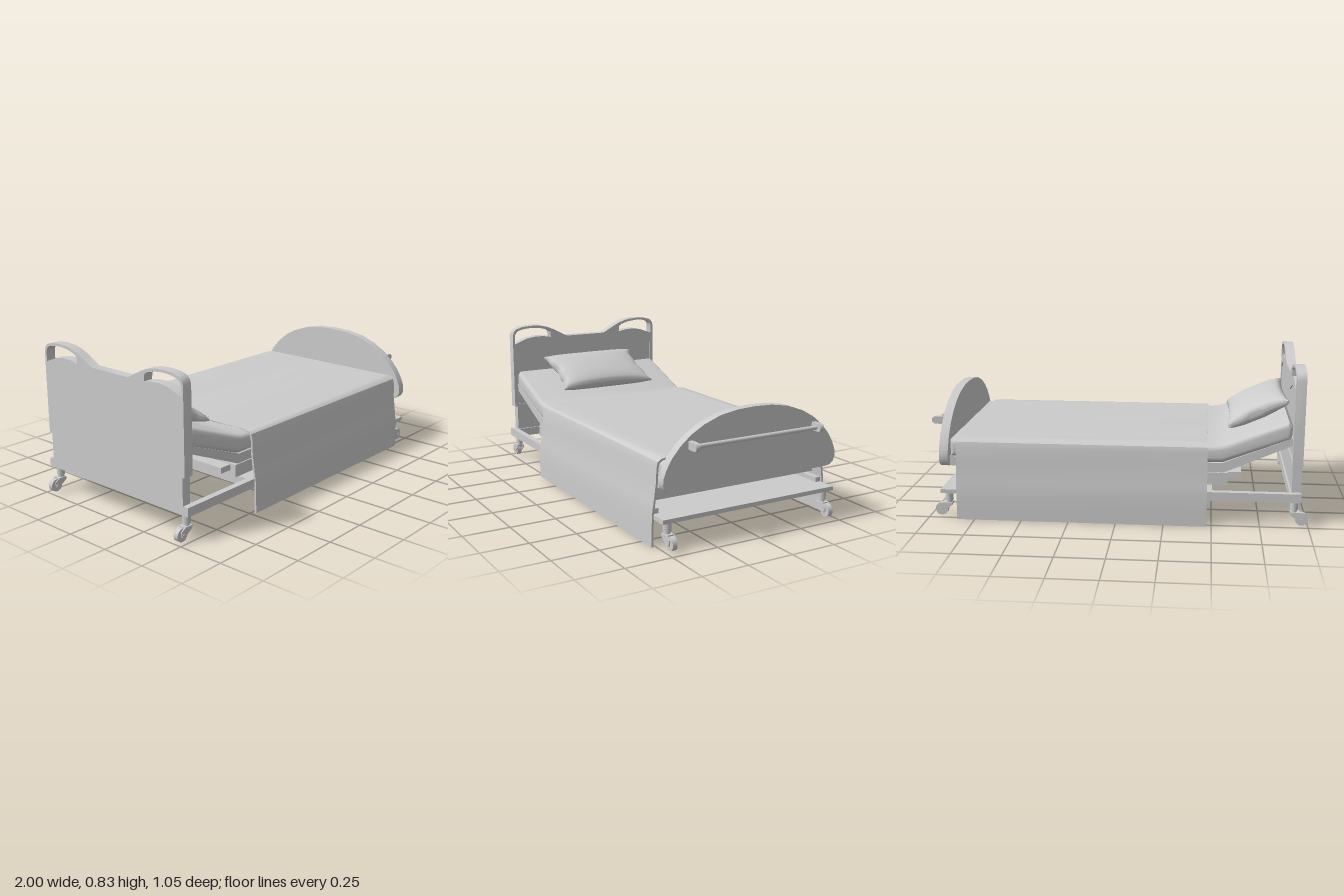
import * as THREE from 'three';
import { toCreasedNormals } from 'three/addons/utils/BufferGeometryUtils.js';

const material = new THREE.MeshStandardMaterial({ color: 0xcccccc, side: THREE.DoubleSide });
const V = (a) => a.map(([x, y]) => new THREE.Vector2(x, y));
const flip = (a) => a.map(([x, y]) => [-x, y]).reverse();

export function createModel() {
  const bed = new THREE.Group();
  bed.name = 'adjustableBed';

  function add(name, geometry, x = 0, y = 0, z = 0, parent = bed) {
    const mesh = new THREE.Mesh(geometry, material);
    mesh.name = name;
    mesh.position.set(x, y, z);
    parent.add(mesh);
    return mesh;
  }
  // box given by its limits on each axis
  function box(name, x0, x1, y0, y1, z0, z1, parent = bed) {
    return add(name, new THREE.BoxGeometry(x1 - x0, y1 - y0, z1 - z0),
      (x0 + x1) / 2, (y0 + y1) / 2, (z0 + z1) / 2, parent);
  }
  // outline in (z, y), extruded along x from x0 to x1
  function board(name, outline, holes, x0, x1) {
    const shape = new THREE.Shape(V(outline));
    holes.forEach((h) => shape.holes.push(new THREE.Path(V(h))));
    const g = new THREE.ExtrudeGeometry(shape, { depth: x1 - x0, bevelEnabled: false });
    g.rotateY(Math.PI / 2).translate(x0, 0, 0);
    return add(name, toCreasedNormals(g, 0.6));
  }
  // outline in (x, y), extruded across the bed with rounded edges
  function slab(name, outline, halfWidth, bevel) {
    const g = new THREE.ExtrudeGeometry(new THREE.Shape(V(outline)), {
      depth: 2 * (halfWidth - bevel), bevelSize: bevel, bevelThickness: bevel,
      bevelOffset: -bevel, bevelSegments: 4, bevelEnabled: bevel > 0,
    });
    g.translate(0, 0, bevel - halfWidth);
    return add(name, toCreasedNormals(g, 0.6));
  }

  // headboard: two handle openings, shallow recess on the side facing the mattress
  const half = [[0.495, 0.33], [0.495, 0.775], [0.488, 0.798], [0.47, 0.815], [0.43, 0.826], [0.37, 0.83],
    [0.31, 0.826], [0.26, 0.814], [0.22, 0.797], [0.13, 0.75]];
  const handle = [[0.481, 0.722], [0.481, 0.775], [0.473, 0.793], [0.455, 0.805], [0.42, 0.813], [0.37, 0.817],
    [0.31, 0.811], [0.26, 0.797], [0.245, 0.785], [0.24, 0.75], [0.29, 0.759], [0.34, 0.761], [0.4, 0.753]];
  const recess = [[0.471, 0.345], [0.471, 0.665], [0.43, 0.692], [0.38, 0.71], [0.33, 0.717],
    [0.27, 0.708], [0.22, 0.69], [0.13, 0.655]];
  const outline = [...half, ...flip(half)];
  const handles = [handle, flip(handle)];
  board('headboard', outline, handles, -0.96, -0.913);
  board('headboardRim', outline, [...handles, [...recess, ...flip(recess)]], -0.913, -0.907);
  box('headboardBase', -0.958, -0.909, 0.14, 0.33, -0.478, 0.478);

  // footboard
  const foot = [[0.45, 0.279], [0.48, 0.284], [0.5, 0.3], [0.51, 0.325], [0.507, 0.36], [0.492, 0.4],
    [0.465, 0.447], [0.42, 0.5], [0.36, 0.55], [0.29, 0.59], [0.2, 0.623], [0.1, 0.64], [0.0, 0.644]];
  board('footboard', [...foot, ...flip(foot.slice(0, -1))], [], 0.883, 0.93);

  // push bar on the footboard
  const bar = add('pushBar', new THREE.CylinderGeometry(0.011, 0.011, 0.73, 16), 0.966, 0.502, 0);
  bar.rotation.x = Math.PI / 2;
  for (const s of [-1, 1]) {
    const z = s * 0.363;
    box('pushBarBracket', 0.92, 0.98, 0.482, 0.523, z - 0.011, z + 0.011);
    const tip = add('pushBarBracketEnd', new THREE.CylinderGeometry(0.0205, 0.0205, 0.022, 20), 0.979, 0.5025, z);
    tip.rotation.x = Math.PI / 2;
  }

  // lower frame: open at the head, covered by a plate toward the foot
  for (const s of [-1, 1]) box('sideRail', -0.957, 0.83, 0.138, 0.185, s * 0.493 - 0.017, s * 0.493 + 0.017);
  box('headCrossRail', -0.957, -0.9, 0.138, 0.185, -0.478, 0.478);
  box('middleCrossRail', -0.5, -0.45, 0.138, 0.185, -0.478, 0.478);
  box('basePlate', -0.46, 0.93, 0.138, 0.16, -0.51, 0.51);

  // lifting mechanism
  box('liftBase', -0.58, 0.8, 0.215, 0.28, -0.475, 0.475);
  box('liftArm', -0.65, -0.4, 0.245, 0.276, -0.44, 0.44);

  // sleeping surface with a raised head end
  slab('deck', [[-0.905, 0.432], [-0.56, 0.282], [0.885, 0.282], [0.885, 0.332], [-0.55, 0.332], [-0.905, 0.472]], 0.472, 0);
  slab('mattress', [[-0.9, 0.462], [-0.55, 0.332], [0.88, 0.332], [0.88, 0.42], [-0.46, 0.42],
    [-0.53, 0.424], [-0.57, 0.434], [-0.885, 0.554], [-0.905, 0.53]], 0.478, 0.026);

  // blanket: thin draped band with a wavy edge toward the head
  const outer = [[0.523, 0], [0.521, 0.1], [0.518, 0.17], [0.512, 0.21], [0.498, 0.31], [0.494, 0.39],
    [0.487, 0.416], [0.468, 0.429]];
  const inner = [[0.512, 0], [0.51, 0.1], [0.507, 0.17], [0.501, 0.21], [0.487, 0.31], [0.484, 0.385],
    [0.477, 0.409], [0.462, 0.42]];
  const top = (y) => Array.from({ length: 23 }, (_, i) => [0.44 - i * 0.04, y]);
  const outside = [...outer, ...top(0.433), ...flip(outer)];
  const inside = [...inner, ...top(0.423), ...flip(inner)];
  const blanket = board('blanket', [...outside, ...inside.reverse()], [], -0.475, 0.843);
  const bp = blanket.geometry.attributes.position;
  for (let i = 0; i < bp.count; i++) {
    if (bp.getX(i) > 0) continue;
    const z = bp.getZ(i);
    const wave = 0.03 * Math.exp(-(((z - 0.15) / 0.12) ** 2)) + 0.014 * Math.exp(-(((z + 0.27) / 0.1) ** 2));
    bp.setX(i, -0.475 + wave);
  }
  blanket.geometry = toCreasedNormals(blanket.geometry, 0.6);

  // pillow: cushion drawn out to four corners
  const pillow = new THREE.BoxGeometry(2, 2, 2, 28, 1, 36);
  const pp = pillow.attributes.position;
  for (let i = 0; i < pp.count; i++) {
    const u = pp.getX(i), v = pp.getZ(i), side = Math.sign(pp.getY(i));
    const puff = Math.pow(Math.max(0, (1 - u * u) * (1 - v * v)), 0.4);
    const x = 0.172 * u * (1 - 0.08 * (1 - v * v) * u * u);
    const z = 0.3 * v * (1 - 0.1 * (1 - u * u) * v * v);
    pp.setXYZ(i, x, side * (0.006 + 0.055 * puff), z + 0.004 * Math.sin(u * 9) * v * v);
  }
  const cushion = add('pillow', toCreasedNormals(pillow, 1.0), -0.737, 0.552, 0);
  cushion.rotation.z = -0.44;

  // casters, trailing outward at both ends
  for (const end of [-1, 1]) for (const s of [-1, 1]) {
    const caster = new THREE.Group();
    caster.name = 'caster';
    caster.position.set(end < 0 ? -0.925 : 0.895, 0, s * 0.467);
    caster.rotation.y = end < 0 ? Math.PI : 0;
    bed.add(caster);
    add('casterStem', new THREE.CylinderGeometry(0.021, 0.021, 0.05, 20), 0, 0.116, 0, caster);
    add('casterCollar', new THREE.CylinderGeometry(0.016, 0.016, 0.035, 20), 0, 0.08, 0, caster);
    const wheel = add('casterWheel', new THREE.CylinderGeometry(0.034, 0.034, 0.026, 28), 0.041, 0.041, 0, caster);
    wheel.rotation.x = Math.PI / 2;
    const axle = add('casterAxle', new THREE.CylinderGeometry(0.009, 0.009, 0.05, 14), 0.041, 0.041, 0, caster);
    axle.rotation.x = Math.PI / 2;
    const fork = new THREE.Shape(V([[-0.018, 0.065], [-0.018, 0.078], [0.03, 0.078], [0.054, 0.062], [0.052, 0.034], [0.03, 0.03]]));
    for (const f of [-0.022, 0.016]) {
      add('casterFork', new THREE.ExtrudeGeometry(fork, { depth: 0.006, bevelEnabled: false }), 0, 0, f, caster);
    }
    box('casterForkTop', -0.018, 0.03, 0.072, 0.079, -0.022, 0.022, caster);
  }
  return bed;
}
